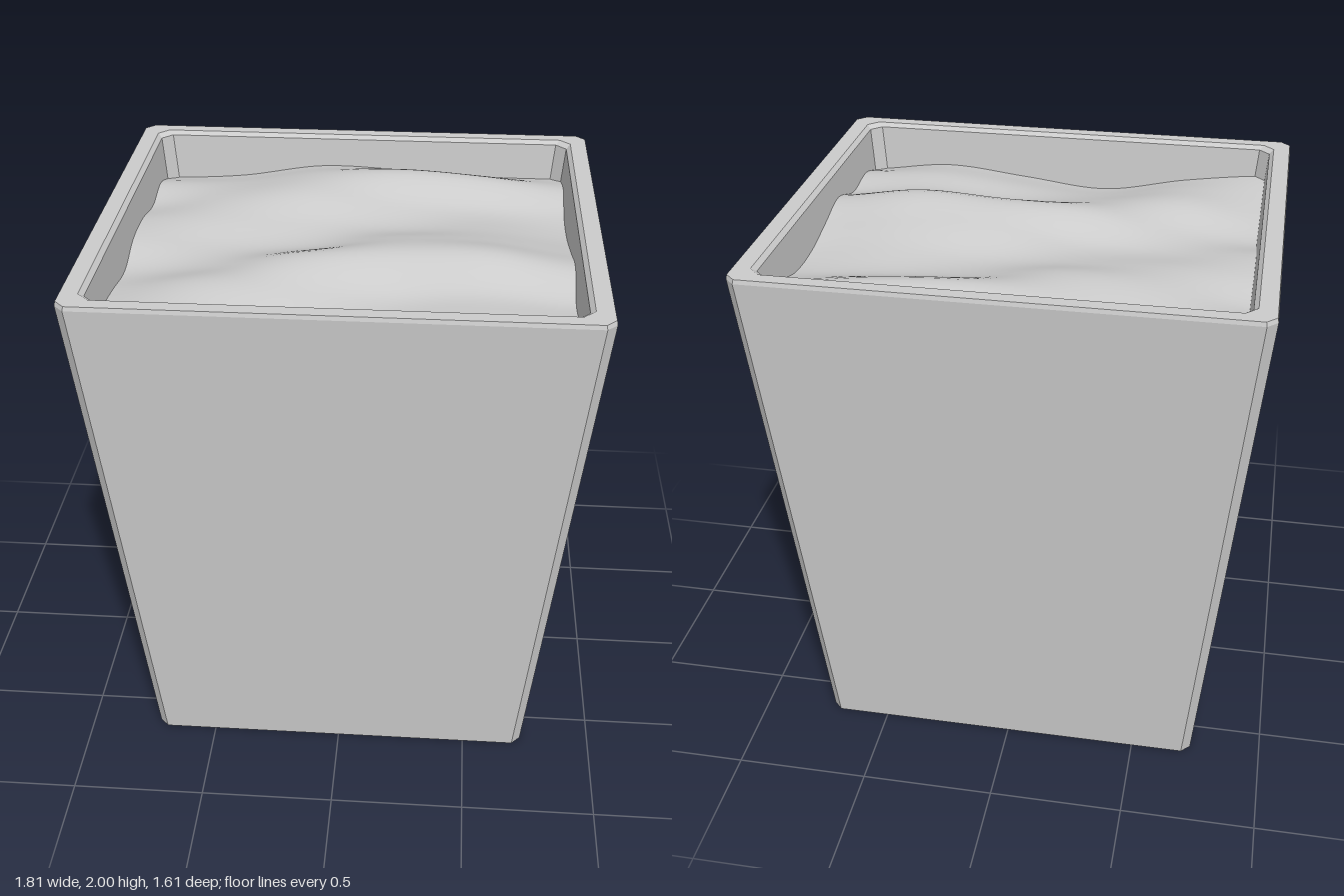
import * as THREE from 'three';

const grey = (flatShading) => new THREE.MeshStandardMaterial({ color: 0xcccccc, flatShading });

// rectangle with cut corners, counter-clockwise seen from above
function ring([hx, hz, cut, y]) {
  return [
    [hx, hz - cut], [hx, -hz + cut], [hx - cut, -hz], [-hx + cut, -hz],
    [-hx, -hz + cut], [-hx, hz - cut], [-hx + cut, hz], [hx - cut, hz],
  ].map(([x, z]) => [x, y, z]);
}

// skin consecutive rings, closing the first one with a flat cap
function skin(sections) {
  const rings = sections.map(ring), pos = [];
  const tri = (...pts) => pts.forEach((p) => pos.push(...p));
  const n = rings[0].length;
  for (let i = 0; i < n; i++) {
    const j = (i + 1) % n;
    tri([0, sections[0][3], 0], rings[0][j], rings[0][i]);
    for (let k = 0; k + 1 < rings.length; k++) {
      const lo = rings[k], hi = rings[k + 1];
      tri(lo[i], lo[j], hi[j]);
      tri(lo[i], hi[j], hi[i]);
    }
  }
  const g = new THREE.BufferGeometry();
  g.setAttribute('position', new THREE.Float32BufferAttribute(pos, 3));
  g.computeVertexNormals();
  return g;
}

// depth of the soil below the rim in hundredths, rows back to front, columns -x to +x
const DEPTH = [
  [20, 18, 13, 14, 16, 16],
  [15, 14, 9, 7, 9, 13],
  [17, 12, 9, 13, 15, 17],
  [14, 13, 14, 15, 14, 17],
  [14, 16, 15, 10, 10, 14],
  [18, 15, 9, 7, 6, 11],
  [16, 11, 13, 15, 13, 16],
  [14, 13, 18, 16, 13, 15],
  [12, 16, 22, 19, 16, 20],
];

// smooth interpolation through evenly spaced values, t from 0 to 1
function smooth(v, t) {
  const s = t * (v.length - 1), i = Math.min(Math.floor(s), v.length - 2), f = s - i;
  const p0 = v[Math.max(i - 1, 0)], p1 = v[i], p2 = v[i + 1], p3 = v[Math.min(i + 2, v.length - 1)];
  return p1 + 0.5 * f * (p2 - p0 + f * (2 * p0 - 5 * p1 + 4 * p2 - p3 + f * (3 * (p1 - p2) + p3 - p0)));
}

function soilGeometry(hx, hz) {
  const g = new THREE.PlaneGeometry(2 * hx, 2 * hz, 48, 48).rotateX(-Math.PI / 2);
  const p = g.attributes.position;
  for (let i = 0; i < p.count; i++) {
    const u = THREE.MathUtils.clamp((p.getX(i) / hx + 1) / 2, 0, 1);
    const v = THREE.MathUtils.clamp((p.getZ(i) / hz + 1) / 2, 0, 1);
    p.setY(i, 2 - smooth(DEPTH.map((row) => smooth(row, u)), v) / 100);
  }
  g.computeVertexNormals();
  return g;
}

export function createModel() {
  const model = new THREE.Group();
  model.name = 'planter';

  // tapered pot: outside wall, bevelled rim, inside wall
  const pot = new THREE.Mesh(skin([
    [0.73, 0.65, 0.033, 0],
    [0.905, 0.807, 0.035, 1.985],
    [0.902, 0.803, 0.035, 2],
    [0.84, 0.752, 0.04, 2],
    [0.824, 0.737, 0.04, 1.985],
    [0.79, 0.707, 0.04, 1.6],
  ]), grey(true));
  pot.name = 'pot';

  // uneven soil, its edges sunk slightly into the walls
  const soil = new THREE.Mesh(soilGeometry(0.825, 0.738), grey(false));
  soil.name = 'soil';

  model.add(pot, soil);
  return model;
}
